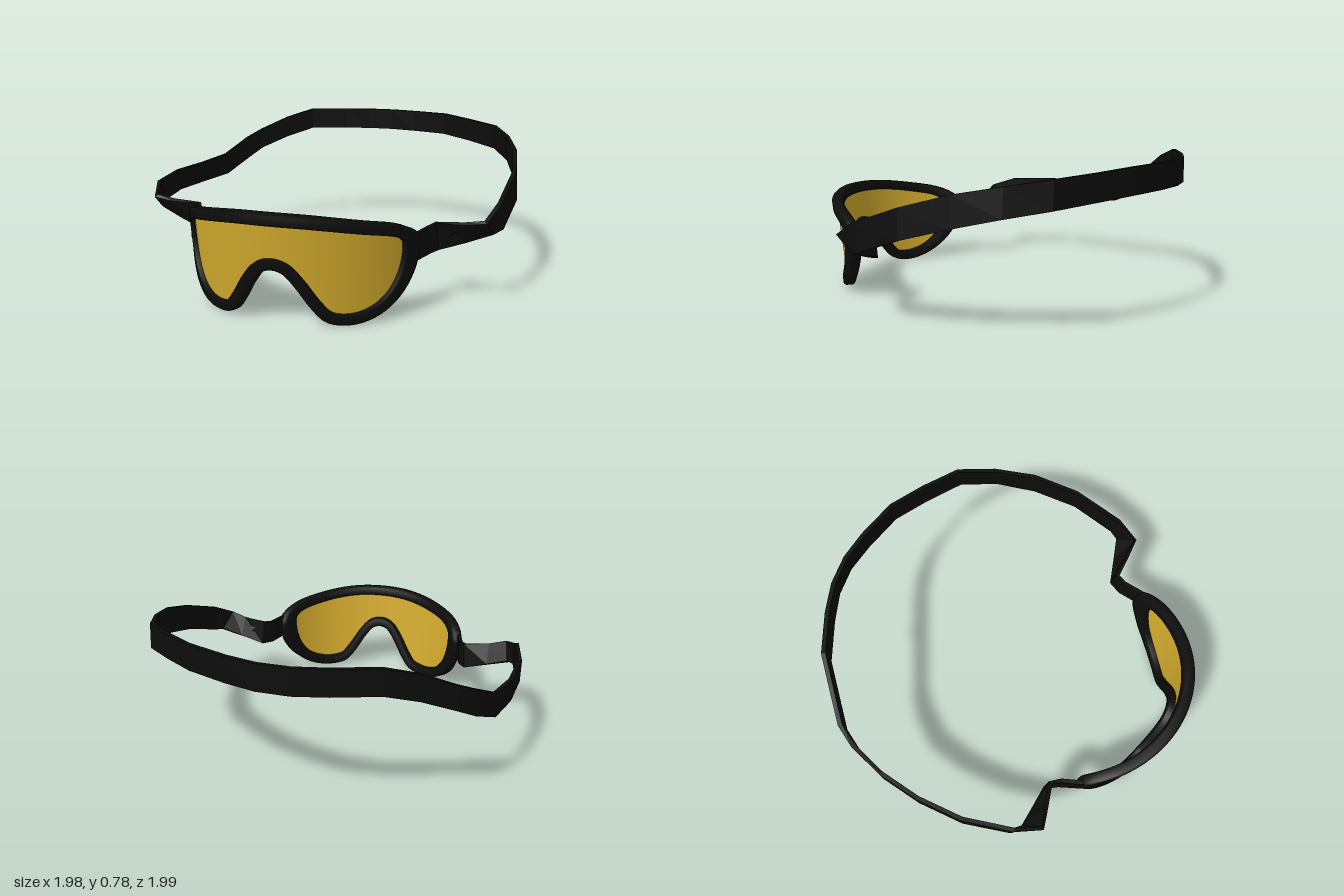
import * as THREE from 'three';

const black = new THREE.MeshStandardMaterial({ color: 0x0d0d0d, side: THREE.DoubleSide });
black.name = 'black rubber';
const amber = new THREE.MeshStandardMaterial({ color: 0xd4ac2e, side: THREE.DoubleSide });
amber.name = 'amber lens';

// Skin a row of cross-sections (arrays of Vector3) with quads
function loft(sections, ringClosed, pathClosed) {
  const n = sections[0].length, m = sections.length;
  const pos = sections.flat().flatMap(p => [p.x, p.y, p.z]);
  const index = [];
  for (let i = 0; i < (pathClosed ? m : m - 1); i++) {
    for (let j = 0; j < (ringClosed ? n : n - 1); j++) {
      const i2 = (i + 1) % m, j2 = (j + 1) % n;
      const a = i * n + j, b = i2 * n + j, c = i2 * n + j2, d = i * n + j2;
      index.push(a, b, c, a, c, d);
    }
  }
  const geo = new THREE.BufferGeometry();
  geo.setAttribute('position', new THREE.Float32BufferAttribute(pos, 3));
  geo.setIndex(index);
  geo.computeVertexNormals();
  return geo;
}

// Wrap a flat front-view point round the face; depth goes inwards
const R = 0.66;
function wrap(x, y, depth) {
  const c = Math.sqrt(Math.max(0, R * R - x * x));
  return new THREE.Vector3(x - depth * x / R, y, 0.335 + c - depth * c / R - 0.12 * (0.54 - y));
}

// Middle line of the rim, left half from top centre to nose, then mirrored
const half = [[0, 0.515], [0.2, 0.507], [0.4, 0.475], [0.53, 0.437], [0.573, 0.395], [0.578, 0.33],
  [0.56, 0.225], [0.52, 0.135], [0.46, 0.072], [0.39, 0.04], [0.315, 0.034], [0.25, 0.052],
  [0.195, 0.115], [0.125, 0.22], [0.065, 0.285], [0, 0.303]];
const outline = [...half, ...half.slice(1, -1).reverse().map(([x, y]) => [-x, y])];
const rimCurve = new THREE.CatmullRomCurve3(
  outline.map(([x, y]) => new THREE.Vector3(x, y, 0)), true, 'centripetal');

function makeFrame() {
  // section: [offset outwards, depth]
  const profile = [[-0.027, 0.004], [-0.02, 0], [0.018, 0], [0.028, 0.012], [0.029, 0.05],
    [0.02, 0.062], [-0.018, 0.062], [-0.027, 0.052]];
  const steps = 140, sections = [];
  for (let i = 0; i < steps; i++) {
    const p = rimCurve.getPointAt(i / steps), t = rimCurve.getTangentAt(i / steps);
    sections.push(profile.map(([o, d]) => wrap(p.x - t.y * o, p.y + t.x * o, d)));
  }
  return new THREE.Mesh(loft(sections, true, true), black);
}

function makeLens() {
  // upper and lower rim heights for a given x
  const pts = rimCurve.getSpacedPoints(400);
  const heights = x => {
    const ys = [];
    for (let i = 0; i < 400; i++) {
      const a = pts[i], b = pts[i + 1];
      if ((a.x <= x) !== (b.x <= x)) ys.push(a.y + (b.y - a.y) * (x - a.x) / (b.x - a.x));
    }
    return [Math.min(...ys), Math.max(...ys)];
  };
  const sections = [];
  for (let i = 0; i <= 60; i++) {
    const x = -0.574 * Math.cos(Math.PI * i / 60);
    const [lo, hi] = heights(x);
    sections.push(Array.from({ length: 7 }, (_, j) => wrap(x, lo + (hi - lo) * j / 6, 0.025)));
  }
  return new THREE.Mesh(loft(sections, false, false), amber);
}

// Strap stations: lower edge xyz, upper edge xyz
const tab = [[0.575, 0.27, 0.61, 0.575, 0.40, 0.61], [0.615, 0.265, 0.46, 0.61, 0.40, 0.47],
  [0.65, 0.27, 0.40, 0.64, 0.41, 0.42], [0.78, 0.315, 0.375, 0.78, 0.42, 0.44],
  [0.90, 0.36, 0.35, 0.88, 0.44, 0.455]];
const leftSide = [[0.94, 0.37, 0.30, 0.93, 0.51, 0.33], [0.98, 0.46, 0.05, 0.97, 0.61, 0.05],
  [0.96, 0.53, -0.2, 0.95, 0.68, -0.2], [0.905, 0.58, -0.42, 0.89, 0.72, -0.42],
  [0.81, 0.615, -0.61, 0.80, 0.75, -0.61], [0.63, 0.635, -0.75, 0.63, 0.765, -0.75]];
const back = [[0.455, 0.65, -0.87, 0.455, 0.78, -0.87], [0.24, 0.65, -0.945, 0.24, 0.78, -0.945],
  [0.08, 0.65, -0.985, 0.08, 0.78, -0.98]];
const rightSide = [[-0.60, 0.60, -0.775, -0.60, 0.73, -0.775], [-0.75, 0.53, -0.68, -0.75, 0.655, -0.68],
  [-0.82, 0.47, -0.59, -0.82, 0.605, -0.59], [-0.895, 0.39, -0.42, -0.895, 0.52, -0.42],
  [-0.95, 0.38, -0.2, -0.95, 0.50, -0.2], [-0.975, 0.38, 0.05, -0.975, 0.50, 0.05],
  [-0.94, 0.37, 0.30, -0.94, 0.49, 0.32]];
const mirror = list => list.map(([a, b, c, d, e, f]) => [-a, b, c, -d, e, f]).reverse();

function makeStrap() {
  const stations = [...tab, ...leftSide, ...back, ...mirror(back), ...rightSide, ...mirror(tab)]
    .map(s => [new THREE.Vector3(...s.slice(0, 3)), new THREE.Vector3(...s.slice(3))]);
  const mid = stations.map(([lo, hi]) => lo.clone().lerp(hi, 0.5));
  const sections = stations.map(([lo, hi], i) => {
    const along = mid[Math.min(i + 1, mid.length - 1)].clone().sub(mid[Math.max(i - 1, 0)]);
    const out = hi.clone().sub(lo).cross(along).setLength(0.011);
    return [lo.clone().add(out), hi.clone().add(out), hi.clone().sub(out), lo.clone().sub(out)];
  });
  const geo = loft(sections, true, false).toNonIndexed();
  geo.computeVertexNormals();
  return new THREE.Mesh(geo, black);
}

export function createModel() {
  const group = new THREE.Group();
  group.name = 'goggles';
  const parts = { frame: makeFrame(), lens: makeLens(), strap: makeStrap() };
  for (const [name, mesh] of Object.entries(parts)) {
    mesh.name = name;
    group.add(mesh);
  }
  return group;
}
